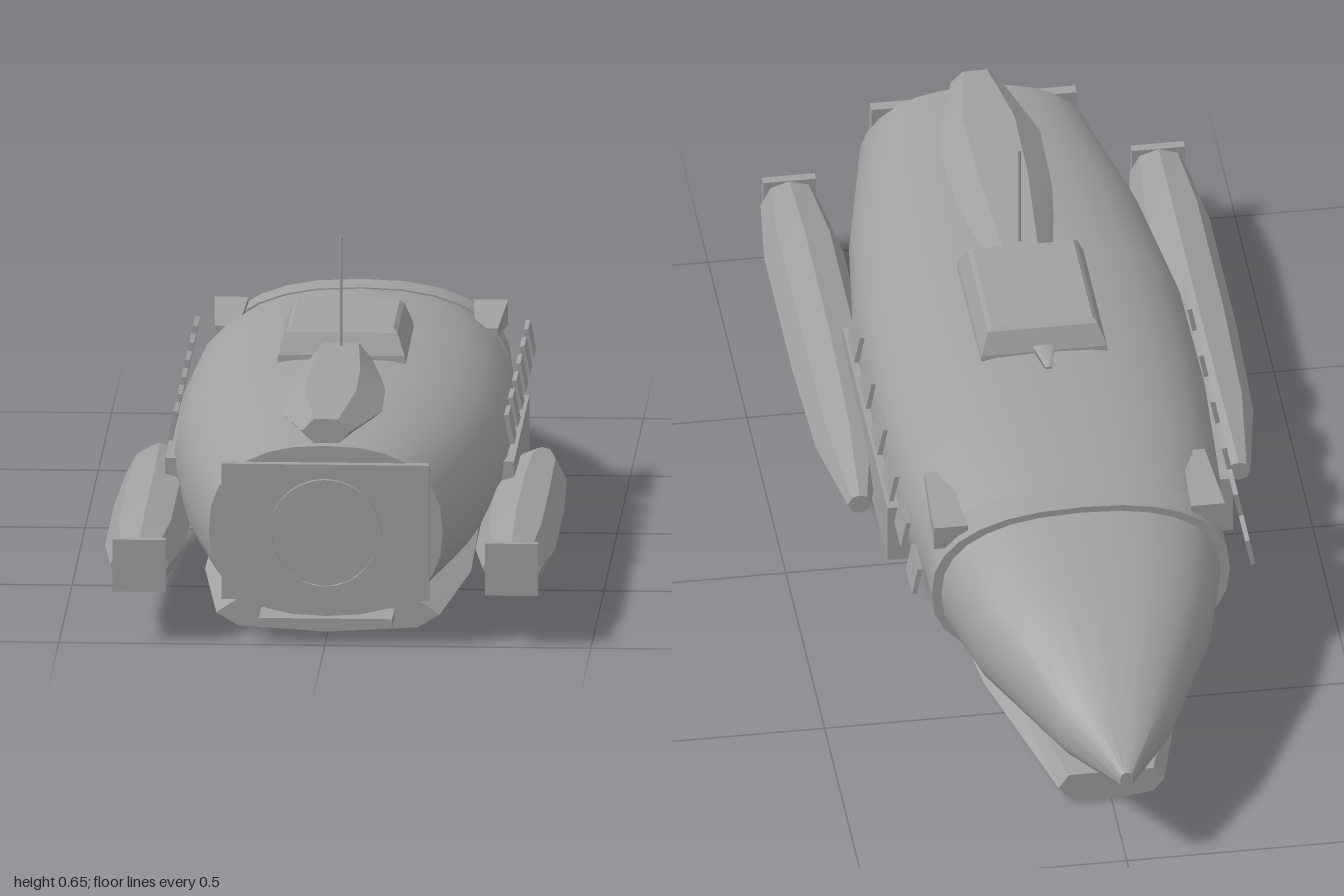
import * as THREE from 'three';
import { toCreasedNormals } from 'three/addons/utils/BufferGeometryUtils.js';

// Skin a list of {z, pts} rings (counter-clockwise seen from +z, z increasing) and cap both ends.
function loft(rings, crease) {
  const pos = [];
  const put = (ring, p) => pos.push(p[0], p[1], ring.z);
  const n = rings[0].pts.length;
  for (let i = 0; i < rings.length - 1; i++) {
    const r = rings[i], s = rings[i + 1];
    for (let j = 0; j < n; j++) {
      const k = (j + 1) % n;
      put(r, r.pts[j]); put(r, r.pts[k]); put(s, s.pts[k]);
      put(r, r.pts[j]); put(s, s.pts[k]); put(s, s.pts[j]);
    }
  }
  const first = rings[0], last = rings[rings.length - 1];
  for (let j = 1; j < n - 1; j++) {
    put(first, first.pts[0]); put(first, first.pts[j + 1]); put(first, first.pts[j]);
    put(last, last.pts[0]); put(last, last.pts[j]); put(last, last.pts[j + 1]);
  }
  const g = new THREE.BufferGeometry();
  g.setAttribute('position', new THREE.Float32BufferAttribute(pos, 3));
  return toCreasedNormals(g, crease);
}

// Rounded oval ring: half width, bottom and top heights.
function oval(z, hw, y0, y1, n = 28) {
  const pts = [], bend = (v) => Math.sign(v) * Math.abs(v) ** (2 / 2.4);
  for (let j = 0; j < n; j++) {
    const a = (j / n) * Math.PI * 2;
    pts.push([hw * bend(Math.cos(a)), (y0 + y1) / 2 + ((y1 - y0) / 2) * bend(Math.sin(a))]);
  }
  return { z, pts };
}

// Ring made by scaling a unit outline about a centre.
const outline = (shape, z, cx, cy, sx, sy) => ({ z, pts: shape.map(([x, y]) => [cx + x * sx, cy + y * sy]) });

const SQUARE = [[1, -1], [1, 1], [-1, 1], [-1, -1]];
const OCTAGON = [[1, 0], [0.66, 0.77], [0, 1], [-0.66, 0.77], [-1, 0], [-0.66, -0.77], [0, -1], [0.66, -0.77]];
const HEXAGON = [[1, 0], [0.5, 1], [-0.5, 1], [-1, 0], [-0.5, -1], [0.5, -1]];

export function createModel() {
  const model = new THREE.Group();
  model.name = 'shuttle';
  const grey = new THREE.MeshStandardMaterial({ color: 0xa0a0a0 });
  grey.name = 'hull grey';

  function add(name, geometry, x = 0, y = 0, z = 0) {
    const mesh = new THREE.Mesh(geometry, grey);
    mesh.name = name;
    mesh.position.set(x, y, z);
    model.add(mesh);
    return mesh;
  }

  // Hull from the pointed nose to the blunt rear
  const hull = [
    [-1, 0.012, 0.168, 0.204], [-0.85, 0.108, 0.127, 0.268], [-0.57, 0.225, 0.072, 0.35],
    [-0.4, 0.267, 0.056, 0.383], [-0.15, 0.303, 0.046, 0.415], [0.1, 0.316, 0.043, 0.416],
    [0.4, 0.313, 0.042, 0.412], [0.7, 0.277, 0.045, 0.4], [0.97, 0.22, 0.05, 0.377],
  ];
  add('hull', loft(hull.map((s) => oval(...s)), 0.6));
  add('collar', loft([oval(-0.408, 0.283, 0.053, 0.394), oval(-0.335, 0.283, 0.053, 0.394)], 0.6));

  // Flat keel, narrow towards the nose
  const keelRing = ([z, w]) => {
    const inner = w * 0.8;
    return { z, pts: [[w, 0.035], [inner, 0.063], [-inner, 0.063], [-w, 0.035], [-inner, 0.01], [0, 0], [inner, 0.01]] };
  };
  add('keel', loft([[-0.8, 0.1], [-0.45, 0.19], [0, 0.245], [0.5, 0.25], [0.88, 0.21]].map(keelRing), 0.3));
  add('rearStep', new THREE.BoxGeometry(0.25, 0.018, 0.13), 0, 0.037, 0.91);

  // Rear door with a round hatch and rim
  add('rearDoor', new THREE.BoxGeometry(0.39, 0.26, 0.022), 0, 0.215, 0.978);
  add('rearHatch', new THREE.CylinderGeometry(0.1, 0.1, 0.02, 14).rotateX(Math.PI / 2), 0, 0.212, 0.985);
  const rim = new THREE.Shape().absarc(0, 0, 0.106, 0, Math.PI * 2);
  rim.holes.push(new THREE.Path().absarc(0, 0, 0.099, 0, Math.PI * 2, true));
  add('hatchRim', new THREE.ExtrudeGeometry(rim, { depth: 0.015, bevelEnabled: false, curveSegments: 14 }), 0, 0.212, 0.985);

  // Parts on both sides
  for (const side of [-1, 1]) {
    const label = side > 0 ? 'left' : 'right';

    // Faceted engine pod with a square end plate
    const pod = [[-0.0, 0.022, 0.02, 0.36], [0.19, 0.063, 0.052, 0.352], [0.45, 0.075, 0.065, 0.348],
      [0.8, 0.075, 0.065, 0.348], [0.97, 0.055, 0.05, 0.35]];
    add(label + 'Pod', loft(pod.map(([z, w, h, x]) => outline(OCTAGON, z, side * x, 0.145, w, h)), 0.25));
    add(label + 'PodEndPlate', new THREE.BoxGeometry(0.1, 0.1, 0.018), side * 0.35, 0.146, 0.977);

    // Fairing between pod and hull
    add(label + 'Fairing', new THREE.BoxGeometry(0.07, 0.12, 0.58), side * 0.293, 0.173, 0.15);

    // Row of tilted window plates
    for (let i = 0; i < 6; i++) {
      const pane = add(label + 'Window' + (i + 1), new THREE.BoxGeometry(0.009, 0.057, 0.082), side * 0.316, 0.282, 0.34 - i * 0.149);
      pane.rotation.z = side * 0.19;
    }

    // Shoulder fin running back from the collar
    add(label + 'ShoulderFin', loft([
      outline(SQUARE, -0.39, side * 0.244, 0.337, 0.032, 0.024),
      outline(SQUARE, -0.195, side * 0.244, 0.34, 0.022, 0.008),
    ], 0.3));
  }

  // Roof cabin: bevelled block lofted upwards
  const cabin = [[0.395, 0.122, 0.155], [0.418, 0.119, 0.153], [0.458, 0.104, 0.133], [0.465, 0.096, 0.124]];
  const cabinGeometry = loft(cabin.map(([y, w, d]) => outline(SQUARE, y, 0, 0, w, d)), 0.2);
  add('roofCabin', cabinGeometry.rotateX(-Math.PI / 2), 0, 0, 0.215);
  const cabinNose = new THREE.CylinderGeometry(0.008, 0.032, 0.07, 4, 1).rotateY(Math.PI / 4).rotateX(-Math.PI / 2);
  cabinNose.scale(1, 0.5, 1);
  add('cabinNose', cabinNose, 0, 0.418, 0.042);

  // Faceted spine behind the cabin
  const spine = [[0.34, 0.062, 0.405, 0.035], [0.6, 0.094, 0.404, 0.04], [0.78, 0.097, 0.403, 0.04], [0.955, 0.046, 0.402, 0.023]];
  add('spine', loft(spine.map(([z, w, y, h]) => outline(HEXAGON, z, 0, y, w, h)), 0.2));

  // Antenna
  add('antenna', new THREE.CylinderGeometry(0.003, 0.003, 0.23, 8), 0, 0.535, 0.385);

  return model;
}
